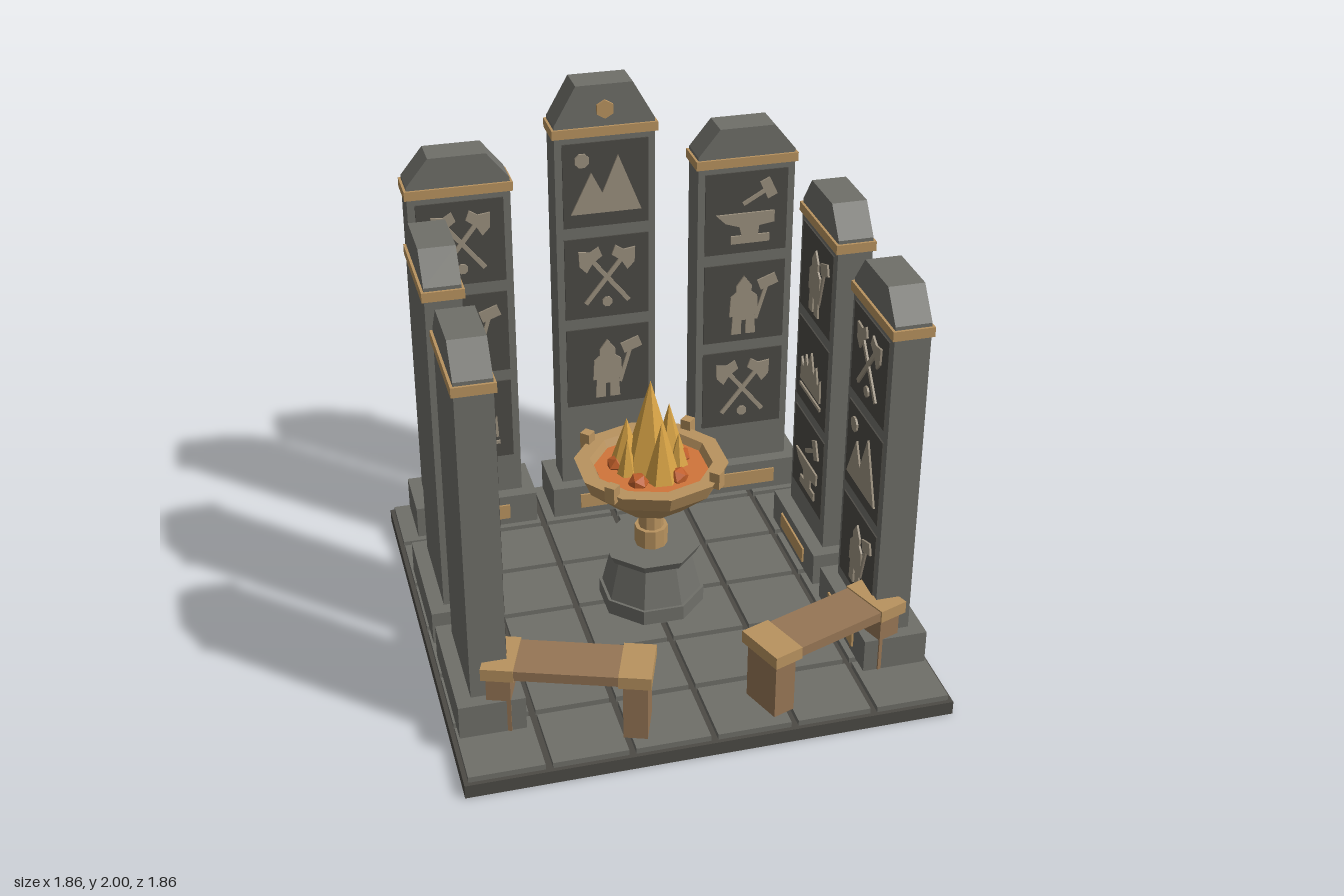
import * as THREE from 'three';

const mat = (name, color) => new THREE.MeshStandardMaterial({ name, color, flatShading: true });

export function createModel() {
  const root = new THREE.Group();
  root.name = 'monument';
  const stone = mat('stone', 0x6f6f69), dark = mat('dark stone', 0x4c4a45), relief = mat('relief stone', 0x9c917f);
  const bronze = mat('bronze', 0xb9935f), wood = mat('wood', 0x967655);
  const coal = mat('glowing coals', 0xd0743a), ember = mat('ember', 0xc05e2a), fire = mat('flame', 0xdaa546);

  function add(parent, name, geo, m, x = 0, y = 0, z = 0, ry = 0) {
    const mesh = new THREE.Mesh(geo, m);
    mesh.name = name;
    mesh.position.set(x, y, z);
    mesh.rotation.y = ry;
    parent.add(mesh);
    return mesh;
  }
  const box = (w, h, d) => new THREE.BoxGeometry(w, h, d);
  const poly = (pts) => new THREE.Shape(pts.map((p) => new THREE.Vector2(p[0], p[1])));
  const plate = (shapes, depth) => new THREE.ExtrudeGeometry(shapes, { depth, bevelEnabled: false });
  const mirror = (pts) => pts.map(([x, y]) => [-x, y]).reverse();
  // straight bar between two points
  function bar(x1, y1, x2, y2, w) {
    const l = Math.hypot(x2 - x1, y2 - y1), nx = -(y2 - y1) / l * w / 2, ny = (x2 - x1) / l * w / 2;
    return poly([[x1 - nx, y1 - ny], [x2 - nx, y2 - ny], [x2 + nx, y2 + ny], [x1 + nx, y1 + ny]]);
  }
  function disc(x, y, r, n = 8) {
    return poly(Array.from({ length: n }, (_, i) => {
      const a = (i + 0.5) / n * Math.PI * 2;
      return [x + r * Math.cos(a), y + r * Math.sin(a)];
    }));
  }

  // relief pictures, centred on their panel
  const axeHead = [[-0.118, 0.125], [-0.115, 0.06], [-0.085, 0.028], [-0.06, 0.07], [-0.02, 0.1], [-0.035, 0.14], [-0.07, 0.118]];
  const crownHalf = [[0.115, -0.08], [0.11, 0.02], [0.085, -0.015], [0.06, 0.055], [0.035, 0.01]];
  const pictures = {
    mountains: [disc(-0.097, 0.108, 0.031),
      poly([[-0.145, -0.12], [0.145, -0.12], [0.05, 0.122], [-0.015, -0.035], [-0.06, 0.055]])],
    axes: [poly(axeHead), poly(mirror(axeHead)), bar(-0.09, -0.112, 0.07, 0.09, 0.018),
      bar(0.09, -0.112, -0.07, 0.09, 0.018), disc(0, -0.11, 0.022)],
    figure: [poly([[-0.055, -0.145], [-0.012, -0.145], [-0.012, -0.08], [0.008, -0.08], [0.008, -0.145], [0.05, -0.145],
      [0.045, -0.06], [0.06, -0.06], [0.055, 0.03], [0.03, 0.05], [0.03, 0.08], [-0.003, 0.125], [-0.036, 0.08],
      [-0.036, 0.05], [-0.06, 0.03], [-0.065, -0.06], [-0.05, -0.06]]),
      bar(0.05, -0.08, 0.1, 0.09, 0.016), bar(0.062, 0.075, 0.138, 0.103, 0.048)],
    crown: [poly([...crownHalf, [0, 0.09], ...mirror(crownHalf)]), bar(-0.12, -0.107, 0.12, -0.107, 0.014)],
    anvil: [poly([[-0.13, 0], [-0.09, -0.04], [-0.03, -0.06], [-0.02, -0.1], [-0.065, -0.1], [-0.065, -0.135],
      [0.1, -0.135], [0.1, -0.1], [0.05, -0.1], [0.055, -0.06], [0.12, -0.05], [0.12, 0]]),
      bar(-0.015, 0.04, 0.1, 0.105, 0.016), bar(0.075, 0.14, 0.11, 0.065, 0.045)],
  };

  // floor slab and paving
  add(root, 'floorSlab', box(1.86, 0.055, 1.86), dark, 0, 0.0275, 0);
  const paving = new THREE.Group();
  paving.name = 'paving';
  root.add(paving);
  for (let i = 0; i < 6; i++)
    for (let j = 0; j < 6; j++)
      add(paving, 'tile', box(0.282, 0.028, 0.282), stone, (i - 2.5) * 0.309, 0.064, (j - 2.5) * 0.309);

  // pillar with its panels facing local +z
  function pillar(name, x, z, ry, bandY, topY, icons) {
    const g = new THREE.Group();
    g.name = name;
    g.position.set(x, 0, z);
    g.rotation.y = ry;
    root.add(g);
    add(g, 'plinth', box(0.515, 0.14, 0.25), stone, 0, 0.145, 0);
    add(g, 'plinthPlate', box(0.28, 0.065, 0.009), bronze, 0, 0.143, 0.1285);
    add(g, 'shaft', box(0.41, bandY - 0.205, 0.138), stone, 0, (bandY + 0.215) / 2 + 0.005, 0);
    add(g, 'band', box(0.43, 0.038, 0.158), bronze, 0, bandY + 0.019, 0);
    const cap = plate(poly([[-0.205, bandY], [0.205, bandY], [0.205, bandY + 0.052],
      [0.115, topY], [-0.115, topY], [-0.205, bandY + 0.052]]), 0.138);
    add(g, 'cap', cap, stone, 0, 0, -0.069);
    icons.forEach((icon, i) => {
      const y = bandY - 0.205 - i * 0.411;
      add(g, 'panel', box(0.35, 0.36, 0.008), dark, 0, y, 0.071);
      add(g, icon + 'Relief', plate(pictures[icon], 0.009), relief, 0, y, 0.074);
    });
    return g;
  }
  const q = Math.PI / 2;
  const centre = pillar('backCentrePillar', 0, -0.783, 0, 1.79, 2, ['mountains', 'axes', 'figure']);
  const stud = add(centre, 'capStud', new THREE.CylinderGeometry(0.038, 0.038, 0.015, 6), bronze, 0, 1.9, 0.075);
  stud.rotation.x = q;
  pillar('backRightPillar', -0.59, -0.783, 0, 1.598, 1.762, ['axes', 'figure', 'crown']);
  pillar('backLeftPillar', 0.59, -0.783, 0, 1.598, 1.762, ['anvil', 'figure', 'axes']);
  pillar('rightRearPillar', -0.78, -0.158, q, 1.536, 1.702, ['mountains', 'mountains', 'crown']);
  pillar('leftRearPillar', 0.78, -0.158, -q, 1.536, 1.702, ['figure', 'crown', 'anvil']);
  pillar('rightFrontPillar', -0.78, 0.437, q, 1.474, 1.64, ['crown', 'anvil', 'axes']);
  pillar('leftFrontPillar', 0.78, 0.437, -q, 1.474, 1.64, ['axes', 'mountains', 'figure']);

  // benches, angled towards the fire
  for (const s of [-1, 1]) {
    const b = new THREE.Group();
    b.name = s > 0 ? 'leftBench' : 'rightBench';
    b.position.set(s * 0.49, 0, 0.69);
    b.rotation.y = s * Math.PI / 9;
    root.add(b);
    add(b, 'seat', box(0.6, 0.04, 0.195), wood, 0, 0.339, 0);
    for (const e of [-1, 1]) {
      add(b, 'seatCap', box(0.12, 0.05, 0.207), bronze, e * 0.25, 0.34, 0);
      add(b, 'benchLeg', box(0.09, 0.242, 0.17), wood, e * 0.25, 0.199, 0);
    }
  }

  // brazier pedestal and bowl
  const brazier = new THREE.Group();
  brazier.name = 'brazier';
  root.add(brazier);
  const drum = (name, rt, rb, y0, y1, n, m, ry = 0) =>
    add(brazier, name, new THREE.CylinderGeometry(rt, rb, y1 - y0, n), m, 0, (y0 + y1) / 2, 0, ry);
  const oct = Math.PI / 8;
  drum('pedestalBase', 0.212, 0.212, 0.075, 0.14, 8, stone, oct);
  drum('pedestal', 0.16, 0.2, 0.14, 0.305, 8, stone, oct);
  drum('pedestalCollar', 0.198, 0.18, 0.305, 0.34, 8, stone, oct);
  drum('stemFoot', 0.066, 0.066, 0.34, 0.42, 10, bronze);
  drum('stem', 0.048, 0.05, 0.42, 0.51, 10, bronze);
  const profile = [[0, 0.5], [0.06, 0.5], [0.15, 0.54], [0.275, 0.65], [0.302, 0.715], [0.24, 0.715], [0.215, 0.66]];
  add(brazier, 'bowl', new THREE.LatheGeometry(profile.map((p) => new THREE.Vector2(...p)), 10), bronze);
  drum('coalBed', 0.224, 0.21, 0.655, 0.685, 10, coal);
  for (const sx of [-1, 1])
    for (const sz of [-1, 1])
      add(brazier, 'rimProng', box(0.042, 0.068, 0.042), bronze, sx * 0.206, 0.722, sz * 0.206, Math.PI / 4);

  // embers and flames: x, z, tip height, radius
  for (let i = 0; i < 5; i++) {
    const a = i / 5 * Math.PI * 2;
    add(brazier, 'ember', new THREE.IcosahedronGeometry(0.042), ember, -0.135 * Math.sin(a), 0.692, -0.135 * Math.cos(a), a);
  }
  [[0, -0.01, 1.065, 0.115], [0.085, -0.05, 0.93, 0.075], [-0.085, -0.05, 0.89, 0.075], [0.015, 0.095, 0.93, 0.07],
    [0.11, 0.0, 0.82, 0.045], [-0.1, 0.02, 0.84, 0.045]].forEach(([x, z, top, r], i) =>
    add(brazier, 'flame', new THREE.ConeGeometry(r, top - 0.67, 6), fire, x, (top + 0.67) / 2, z, i * 0.5));

  return root;
}
